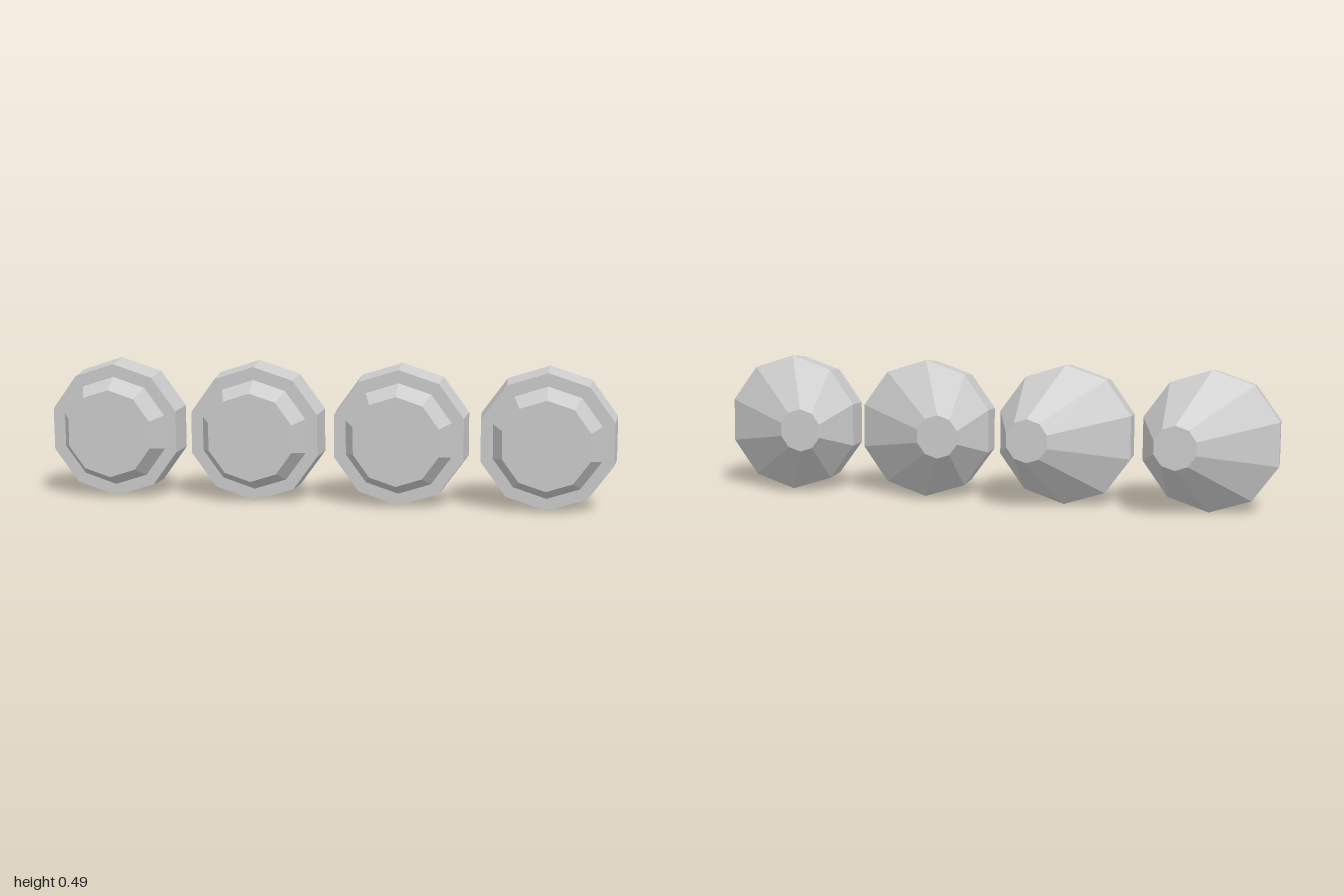
import * as THREE from 'three';

const SIDES = 10;
const TILT = 0.03; // lamps lean very slightly downwards

// Joins decagonal rings [centreX, centreY, centreZ, radius], listed front to back
function loft(rings, capFront, capBack) {
  const pos = [];
  const point = ([x, y, z, r], i) => {
    const a = (i / SIDES) * Math.PI * 2;
    return [x + r * Math.sin(a), y + r * Math.cos(a), z + TILT * r * Math.cos(a)];
  };
  const tri = (a, b, c) => pos.push(...a, ...b, ...c);
  const first = rings[0], last = rings[rings.length - 1];
  for (let i = 0; i < SIDES; i++) {
    for (let k = 0; k < rings.length - 1; k++) {
      const a = point(rings[k], i), b = point(rings[k], i + 1);
      const c = point(rings[k + 1], i), d = point(rings[k + 1], i + 1);
      tri(a, b, c);
      tri(b, d, c);
    }
    if (capFront) tri(first.slice(0, 3), point(first, i + 1), point(first, i));
    if (capBack) tri(last.slice(0, 3), point(last, i), point(last, i + 1));
  }
  const g = new THREE.BufferGeometry();
  g.setAttribute('position', new THREE.Float32BufferAttribute(pos, 3));
  g.computeVertexNormals();
  return g;
}

export function createModel() {
  const group = new THREE.Group();
  const material = new THREE.MeshStandardMaterial({ color: 0xcccccc, flatShading: true });

  // The tail of each housing is pulled towards the middle of the row
  function makeLamp(x, name) {
    const lamp = new THREE.Group();
    lamp.name = name;
    lamp.position.x = x;
    const add = (part, geometry) => {
      const mesh = new THREE.Mesh(geometry, material);
      mesh.name = part;
      lamp.add(mesh);
    };
    const lensBase = [0, 0.241, 0.105, 0.194];
    const rimFront = [0, 0.2425, 0.105, 0.238];
    const rimBack = [0, 0.249, -0.0045, 0.246];
    const tail = [-Math.sign(x) * 0.096, 0.25, -0.172, 0.076];

    add('lens', loft([[0, 0.239, 0.171, 0.156], lensBase], true, false));
    add('rim', loft([lensBase, rimFront, rimBack], false, false));
    add('housing', loft([rimBack, tail], false, true));
    return lamp;
  }

  // Row of four lamps, mirrored about the centre
  for (const side of [1, -1]) {
    const label = side > 0 ? 'left' : 'right';
    group.add(makeLamp(side * 0.256, label + 'InnerLamp'));
    group.add(makeLamp(side * 0.767, label + 'OuterLamp'));
  }
  return group;
}
